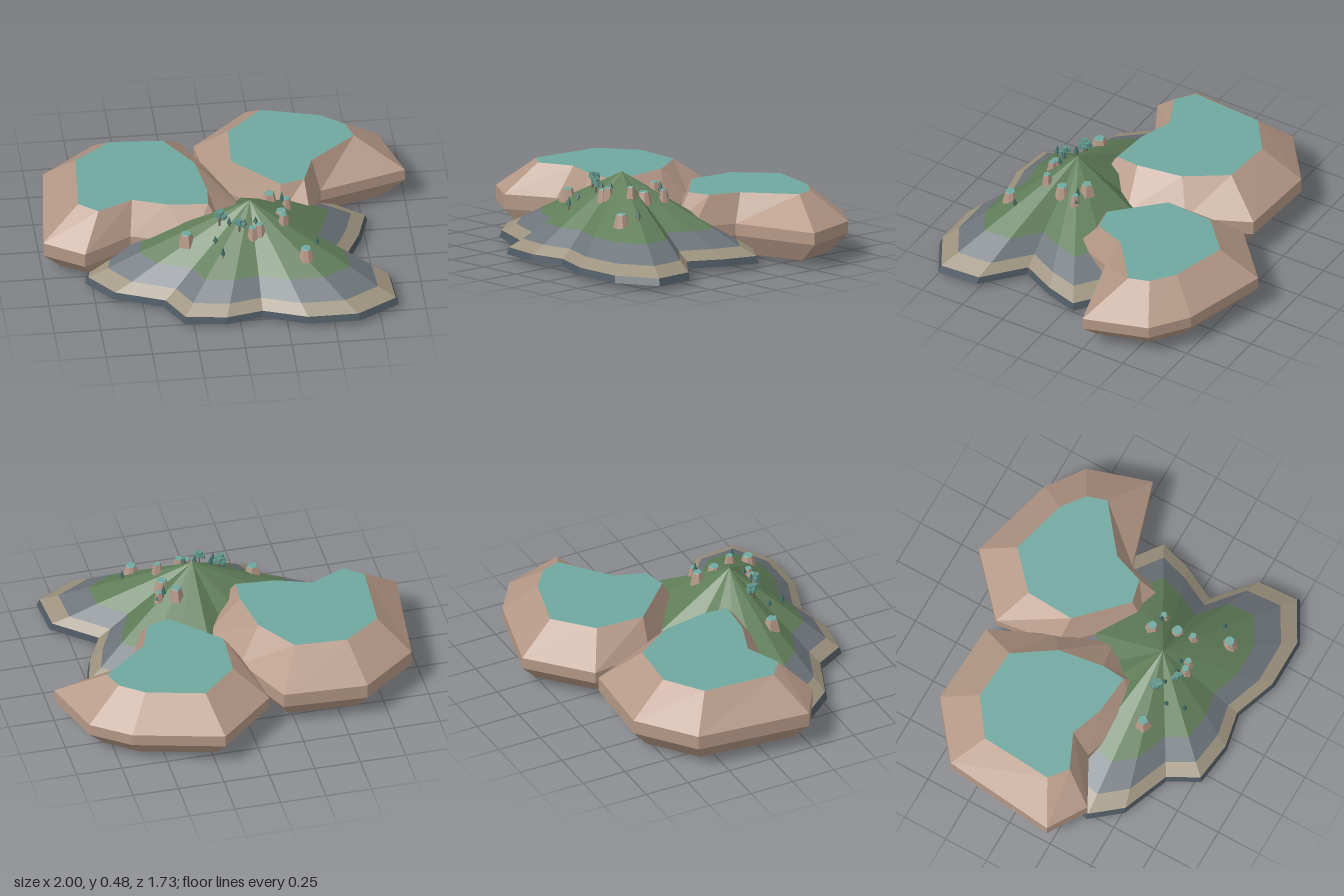
import * as THREE from 'three';

const COLORS = {
  grass: 0x5f7d58, slate: 0x6d757b, sand: 0x9c927e, rim: 0x4f5a63,
  stone: 0xb59886, teal: 0x6fa89f, bark: 0x75604f, leaf: 0x5f9489, pine: 0x3f6a66,
};
const materials = {};
for (const [name, color] of Object.entries(COLORS)) {
  materials[name] = new THREE.MeshStandardMaterial({ color, flatShading: true });
}

function addMesh(parent, name, geometry, material, x = 0, y = 0, z = 0) {
  const mesh = new THREE.Mesh(geometry, materials[material]);
  mesh.name = name;
  mesh.position.set(x, y, z);
  parent.add(mesh);
  return mesh;
}

// Ring of corners: an [x, z] outline scaled about a centre and lifted to height y
const ring = (outline, [cx, cz], scale, y) =>
  outline.map(([x, z]) => new THREE.Vector3(cx + (x - cx) * scale, y, cz + (z - cz) * scale));

// Skin between consecutive rings, listed from top to bottom; collapsed rings make fans
function loft(rings) {
  const points = [];
  const face = (a, b, c) => {
    if (a.distanceTo(b) > 1e-6 && b.distanceTo(c) > 1e-6 && c.distanceTo(a) > 1e-6) points.push(a, b, c);
  };
  for (let r = 0; r + 1 < rings.length; r++) {
    const top = rings[r], low = rings[r + 1], n = top.length;
    for (let i = 0; i < n; i++) {
      const j = (i + 1) % n;
      face(low[j], low[i], top[i]);
      face(low[j], top[i], top[j]);
    }
  }
  const geometry = new THREE.BufferGeometry().setFromPoints(points);
  geometry.computeVertexNormals();
  return geometry;
}

// Island shoreline and slope profile (fraction of the radius, height)
const PEAK = [0.1, 0.32];
const SHORE = [
  [0.775, -0.055], [0.72, 0.13], [0.625, 0.32], [0.84, 0.505], [0.855, 0.735],
  [0.635, 0.86], [0.36, 0.86], [0.12, 0.775], [-0.08, 0.815], [-0.305, 0.785],
  [-0.395, 0.62], [-0.66, 0.515], [-0.79, 0.355], [-0.74, 0.14], [-0.5, 0.05],
  [-0.3, -0.07], [-0.08, -0.1], [0.1, -0.3], [0.36, -0.25], [0.58, -0.2],
];
const SLOPE = [[0, 0.48], [0.67, 0.2], [0.86, 0.115], [0.98, 0.068], [1, 0.03], [0, 0]];

// Height of the hill at a spot, found in the wedge of shoreline that holds it
function hillHeight(x, z) {
  const px = x - PEAK[0], pz = z - PEAK[1];
  for (let i = 0; i < SHORE.length; i++) {
    const a = SHORE[i], b = SHORE[(i + 1) % SHORE.length];
    const ax = a[0] - PEAK[0], az = a[1] - PEAK[1], bx = b[0] - PEAK[0], bz = b[1] - PEAK[1];
    const det = ax * bz - az * bx;
    const s = (px * bz - pz * bx) / det, t = (ax * pz - az * px) / det;
    if (s >= 0 && t >= 0) return 0.48 - (0.28 / 0.67) * (s + t);
  }
  return 0.48;
}

function addIsland(parent) {
  const island = new THREE.Group();
  island.name = 'island';
  const rings = SLOPE.map(([f, y]) => ring(SHORE, PEAK, f, y));
  [['grassHill', 'grass'], ['slateBand', 'slate'], ['sandBand', 'sand'], ['shoreRim', 'rim'], ['underside', 'rim']]
    .forEach(([name, material], i) => addMesh(island, name, loft([rings[i], rings[i + 1]]), material));
  parent.add(island);
}

// Broad faceted mesa with a flat coloured top
function addMesa(parent, name, center, top, girth, topY, upperY, lowerY, footScale) {
  const mesa = new THREE.Group();
  mesa.name = name;
  const crown = ring(top, center, 1, topY);
  const foot = ring(girth, center, footScale, 0.03);
  addMesh(mesa, 'mesaTop', loft([ring(top, center, 0, topY), crown]), 'teal');
  addMesh(mesa, 'mesaSides', loft([
    crown, ring(girth, center, 1, upperY), ring(girth, center, 1, lowerY), foot, ring(girth, center, 0, 0.03),
  ]), 'stone');
  parent.add(mesa);
}

function addBoulder(parent, [x, z, r, sides]) {
  const boulder = new THREE.Group();
  boulder.name = 'boulder';
  addMesh(boulder, 'boulderBody', new THREE.CylinderGeometry(r * 0.62, r, 0.07, sides), 'stone');
  addMesh(boulder, 'boulderTop', new THREE.CylinderGeometry(r * 0.55, r * 0.62, 0.004, sides), 'teal', 0, 0.037);
  boulder.position.set(x, hillHeight(x, z) + 0.012, z);
  boulder.rotation.y = x * 9;
  parent.add(boulder);
}

function addPine(parent, [x, z, h]) {
  const pine = new THREE.Group();
  pine.name = 'pine';
  addMesh(pine, 'trunk', new THREE.CylinderGeometry(0.003, 0.004, h * 0.4, 5), 'bark', 0, h * 0.15);
  addMesh(pine, 'needles', new THREE.ConeGeometry(0.014, h * 0.7, 6), 'pine', 0, h * 0.65);
  pine.position.set(x, hillHeight(x, z), z);
  parent.add(pine);
}

function addLeafTree(parent, [x, z, h]) {
  const tree = new THREE.Group();
  tree.name = 'leafTree';
  addMesh(tree, 'trunk', new THREE.CylinderGeometry(0.004, 0.006, h, 5), 'bark', 0, h * 0.4);
  for (const [dx, dy, dz, r] of [[0, 0, 0, 0.02], [0.02, -0.014, 0.012, 0.014], [-0.016, -0.01, -0.012, 0.013]]) {
    addMesh(tree, 'foliage', new THREE.CylinderGeometry(r * 0.9, r, r * 1.5, 7), 'leaf', dx, h - 0.015 + dy, dz);
  }
  tree.position.set(x, hillHeight(x, z), z);
  parent.add(tree);
}

export function createModel() {
  const model = new THREE.Group();
  model.name = 'islandWithMesas';

  addIsland(model);

  addMesa(model, 'rightMesa', [-0.45, -0.1],
    [[-0.57, -0.425], [-0.285, -0.405], [-0.14, -0.185], [-0.1, 0.07], [-0.11, 0.2],
      [-0.325, 0.18], [-0.51, 0.115], [-0.7, 0.2], [-0.8, 0.12], [-0.77, -0.28]],
    [[-0.63, -0.635], [-0.175, -0.61], [-0.02, -0.28], [0.09, 0.02], [-0.02, 0.29],
      [-0.22, 0.32], [-0.53, 0.22], [-0.79, 0.36], [-1, 0.23], [-0.93, -0.4]],
    0.385, 0.22, 0.14, 0.83);

  addMesa(model, 'backMesa', [0.38, -0.35],
    [[0.27, -0.67], [0.58, -0.585], [0.705, -0.49], [0.74, -0.38], [0.49, -0.18],
      [0.43, -0.01], [0.3, 0.02], [0.06, -0.22], [0.075, -0.49]],
    [[0.21, -0.87], [0.69, -0.74], [0.89, -0.595], [1, -0.25], [0.53, -0.11],
      [0.45, 0.12], [0.285, 0.1], [-0.05, -0.24], [-0.1, -0.59]],
    0.355, 0.2, 0.135, 0.81);

  // Boulders: x, z, radius, sides
  [[0.22, 0.19, 0.045, 5], [0.31, 0.21, 0.03, 6], [0.27, 0.315, 0.045, 8], [-0.25, 0.395, 0.05, 5],
    [0.375, 0.575, 0.045, 8], [0.27, 0.41, 0.033, 5], [0.1, 0.46, 0.035, 6], [0.14, 0.455, 0.032, 6]]
    .forEach((spot) => addBoulder(model, spot));

  // Pines: x, z, height
  [[-0.02, 0.4, 0.06], [0.285, 0.21, 0.08], [-0.07, 0.55, 0.075], [-0.1, 0.455, 0.05],
    [0.44, 0.51, 0.06], [0.06, 0.43, 0.05], [0.12, 0.42, 0.05], [0.32, 0.2, 0.05]]
    .forEach((spot) => addPine(model, spot));

  // Leafy trees: x, z, height
  [[-0.07, 0.38, 0.085], [0.03, 0.445, 0.075], [-0.06, 0.36, 0.06]]
    .forEach((spot) => addLeafTree(model, spot));

  return model;
}
